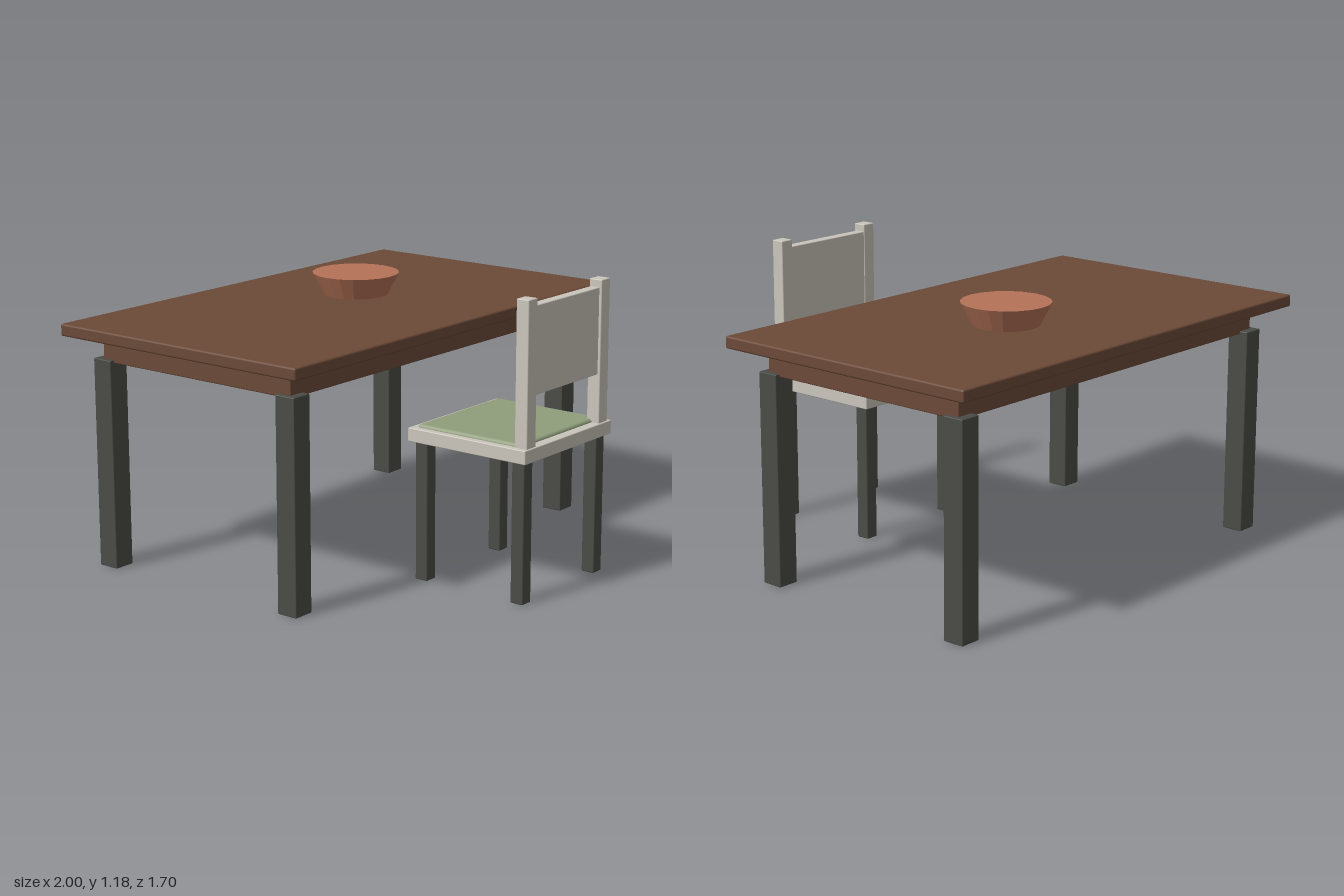
import * as THREE from 'three';
import { RoundedBoxGeometry } from 'three/addons/geometries/RoundedBoxGeometry.js';

const material = (name, color, flatShading = false) => {
  const m = new THREE.MeshStandardMaterial({ color, flatShading });
  m.name = name;
  return m;
};

export function createModel() {
  const wood = material('brown wood', 0x6b4937);
  const dark = material('dark grey legs', 0x4a4a46);
  const frame = material('pale grey frame', 0xcac5bb);
  const fabric = material('green fabric', 0x8f9e7c);
  const clay = material('terracotta', 0xb57357, true);

  // Softly bevelled box given by its extents on each axis
  const box = (parent, name, mat, [x0, x1], [y0, y1], [z0, z1], bevel = 0.004) => {
    const geo = new RoundedBoxGeometry(x1 - x0, y1 - y0, z1 - z0, 2, bevel);
    const mesh = new THREE.Mesh(geo, mat);
    mesh.name = name;
    mesh.position.set((x0 + x1) / 2, (y0 + y1) / 2, (z0 + z1) / 2);
    parent.add(mesh);
  };
  const sides = [['left', 1], ['right', -1]];
  const span = (s, a, b) => (s > 0 ? [a, b] : [-b, -a]);

  const model = new THREE.Group();
  model.name = 'diningSet';

  // Table
  const table = new THREE.Group();
  table.name = 'table';
  box(table, 'tableTop', wood, [-1, 1], [0.936, 0.985], [-0.85, 0.345], 0.008);
  box(table, 'tableApron', wood, [-0.89, 0.89], [0.833, 0.938], [-0.73, 0.227]);
  for (const [side, s] of sides) {
    box(table, side + 'FrontTableLeg', dark, span(s, 0.82, 0.91), [0, 0.845], [0.17, 0.26]);
    box(table, side + 'BackTableLeg', dark, span(s, 0.82, 0.91), [0, 0.845], [-0.765, -0.675]);
  }

  // Bowl, flared and faceted
  const bowl = new THREE.Mesh(new THREE.CylinderGeometry(0.178, 0.132, 0.09, 20), clay);
  bowl.name = 'bowl';
  bowl.position.set(0.158, 1.03, -0.322);

  // Chair, tucked towards the table
  const chair = new THREE.Group();
  chair.name = 'chair';
  box(chair, 'seat', frame, [-0.29, 0.29], [0.557, 0.612], [0.3, 0.85]);
  box(chair, 'seatCushion', fabric, [-0.264, 0.264], [0.59, 0.625], [0.326, 0.81], 0.014);
  box(chair, 'backPanel', frame, [-0.22, 0.22], [0.805, 1.147], [0.79, 0.832]);
  for (const [side, s] of sides) {
    box(chair, side + 'BackPost', frame, span(s, 0.212, 0.27), [0.605, 1.177], [0.787, 0.843]);
    box(chair, side + 'FrontChairLeg', dark, span(s, 0.214, 0.269), [0, 0.56], [0.776, 0.832]);
    box(chair, side + 'RearChairLeg', dark, span(s, 0.214, 0.269), [0, 0.56], [0.322, 0.378]);
  }

  model.add(table, bowl, chair);
  return model;
}
